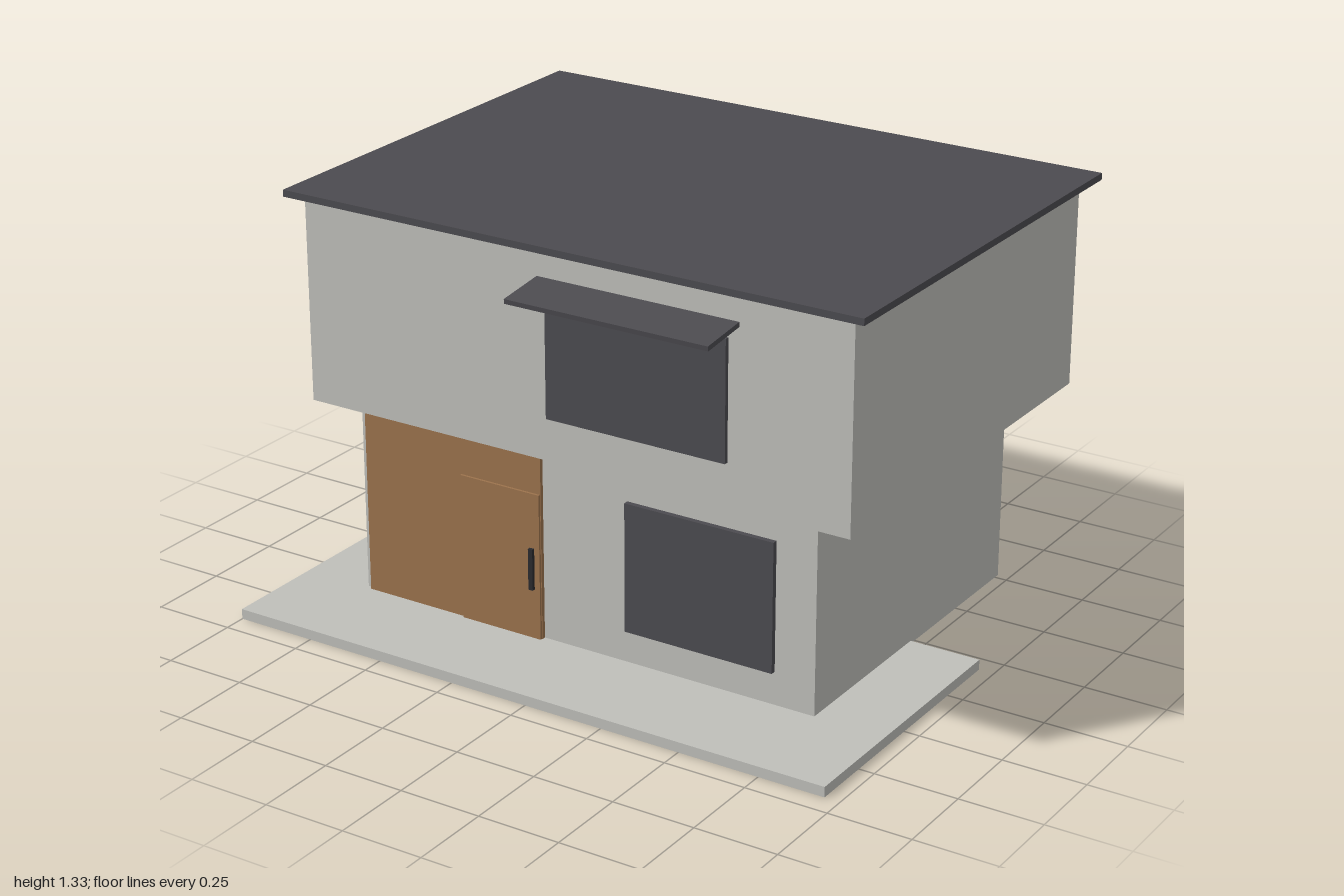
import * as THREE from 'three';

const mat = (name, color) => {
  const m = new THREE.MeshStandardMaterial({ color });
  m.name = name;
  return m;
};

// Box given by its [min, max] extents on each axis
function block(name, material, [x0, x1], [y0, y1], [z0, z1]) {
  const mesh = new THREE.Mesh(new THREE.BoxGeometry(x1 - x0, y1 - y0, z1 - z0), material);
  mesh.position.set((x0 + x1) / 2, (y0 + y1) / 2, (z0 + z1) / 2);
  mesh.name = name;
  return mesh;
}

export function createModel() {
  const concrete = mat('concrete', 0xbfbfba);
  const slate = mat('slate', 0x4c4b50);
  const wood = mat('wood', 0x9c734d);
  const black = mat('black', 0x2a2a2e);

  const house = new THREE.Group();
  house.name = 'house';

  // Terrace and the two storeys, separated by a shadow gap
  house.add(
    block('terrace', concrete, [-1, 0.953], [0, 0.031], [-0.187, 0.682]),
    block('lowerStorey', concrete, [-0.785, 0.733], [0.022, 0.675], [-0.727, 0.358]),
    block('upperStorey', concrete, [-0.785, 0.953], [0.7, 1.31], [-0.685, 0.577]),
    block('roof', slate, [-0.828, 1], [1.308, 1.328], [-0.728, 0.618]),
  );

  // Timber cladding with the door and its handle
  house.add(
    block('woodCladding', wood, [-0.767, -0.155], [0.031, 0.675], [0.355, 0.37]),
    block('door', wood, [-0.427, -0.157], [0.031, 0.48], [0.368, 0.377]),
    block('doorHandle', black, [-0.186, -0.171], [0.188, 0.315], [0.382, 0.392]),
  );

  // Windows
  house.add(
    block('lowerWindow', slate, [0.128, 0.606], [0.132, 0.525], [0.355, 0.374]),
    block('upperWindow', slate, [0.02, 0.583], [0.828, 1.177], [0.575, 0.59]),
  );

  // Canopy sloping down away from the wall
  const canopy = block('windowCanopy', slate, [-0.012, 0.615], [1.204, 1.218], [0.567, 0.728]);
  canopy.rotation.x = 0.115;
  house.add(canopy);

  return house;
}
